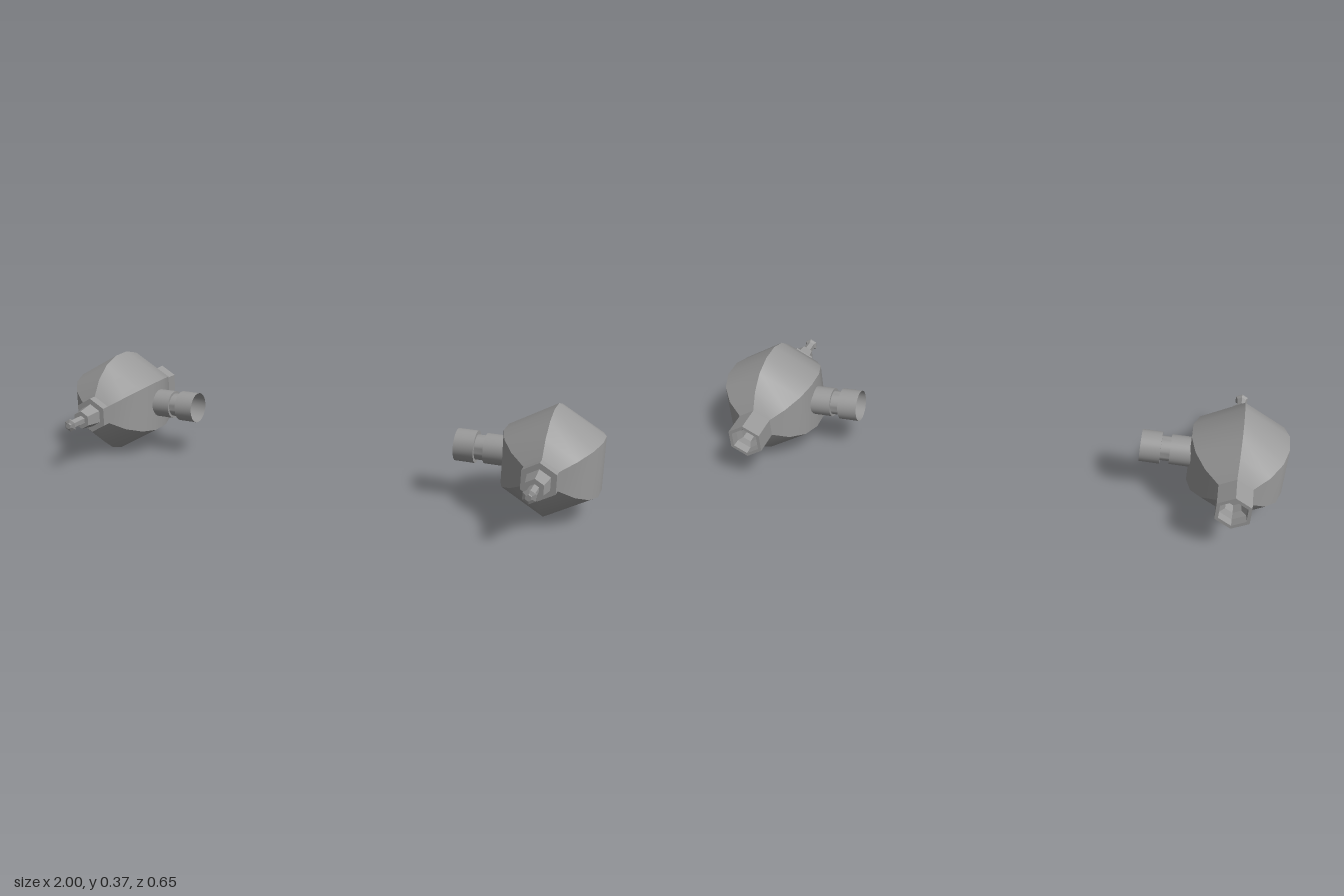
import * as THREE from 'three';
import { mergeGeometries, toCreasedNormals } from 'three/addons/utils/BufferGeometryUtils.js';

const material = new THREE.MeshStandardMaterial({ color: 0x999999, side: THREE.DoubleSide });

const toPoints = (profile) => profile.map(([r, p]) => new THREE.Vector2(r, p));

// Round part about the y axis from [radius, position] pairs.
function turned(profile) {
  return toCreasedNormals(new THREE.LatheGeometry(toPoints(profile), 32), 0.65);
}

// Six panels about the z axis, each smooth along its length, with sharp edges between them.
function sixSided(profile) {
  const panels = [];
  for (let i = 0; i < 6; i++) {
    const panel = new THREE.LatheGeometry(toPoints(profile), 1, i * Math.PI / 3, Math.PI / 3);
    panels.push(toCreasedNormals(panel, 0.65));
  }
  return mergeGeometries(panels).rotateX(Math.PI / 2);
}

function addPart(group, name, geometry) {
  const mesh = new THREE.Mesh(geometry, material);
  mesh.name = name;
  group.add(mesh);
  return mesh;
}

// Six-sided parts strung along z, from back to front.
const hexParts = {
  exhaust: [
    [0, -0.25], [0.028, -0.25], [0.03, -0.285], [0.05, -0.295],
    [0.052, -0.324], [0.065, -0.324], [0.065, -0.228],
  ],
  hull: [
    [0.065, -0.23], [0.122, -0.195], [0.165, -0.14], [0.186, -0.073],
    [0.186, 0], [0.165, 0.063], [0.122, 0.118], [0.065, 0.153],
  ],
  collar: [[0.065, 0.153], [0.065, 0.184], [0.04, 0.184]],
  noseCone: [[0.044, 0.184], [0.034, 0.245], [0, 0.245]],
  probe: [
    [0.017, 0.245], [0.017, 0.304], [0.024, 0.309], [0.024, 0.313],
    [0.011, 0.317], [0.011, 0.324], [0, 0.324],
  ],
};

// Open stub pipe with a narrow neck.
const pipe = [
  [0.052, 0.13], [0.052, 0.227], [0.043, 0.227],
  [0.043, 0.259], [0.056, 0.259], [0.056, 0.329],
];

function createPod(side) {
  const pod = new THREE.Group();
  pod.name = side > 0 ? 'leftPod' : 'rightPod';
  for (const [name, profile] of Object.entries(hexParts)) {
    addPart(pod, name, sixSided(profile));
  }
  // The pipe points inwards, towards the other pod
  const mount = addPart(pod, 'mountPipe', turned(pipe).rotateZ(side * Math.PI / 2));
  mount.position.set(0, 0.006, -0.043);
  pod.position.set(side * 0.839, 0.187, 0);
  return pod;
}

export function createModel() {
  const model = new THREE.Group();
  model.name = 'twinPods';
  for (const side of [1, -1]) model.add(createPod(side));
  return model;
}
